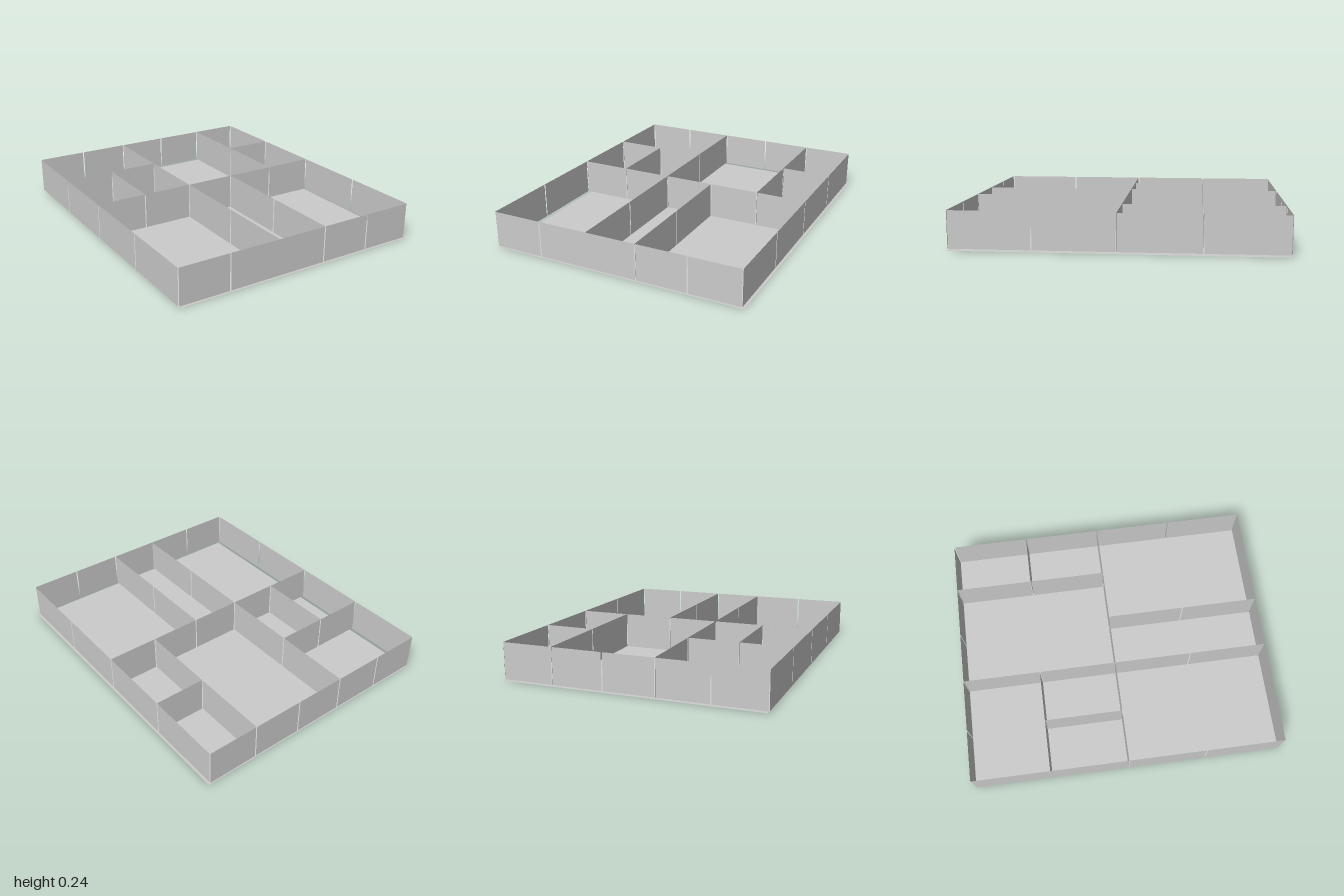
import * as THREE from 'three';

// Shallow compartment tray: thin upright panels set on a 5 x 4 grid above a flat floor
export function createModel() {
  const group = new THREE.Group();
  const material = new THREE.MeshStandardMaterial({ color: 0xcccccc, side: THREE.DoubleSide });

  const bottom = 0.01, top = 0.24, gap = 0.004;
  const gridX = (i) => -0.825 + i * 0.328; // columns, right to left of the tray
  const gridZ = (j) => 1 - j * 0.5;        // rows, front to back

  function addPanel(name, length, x, z, turned) {
    const geometry = new THREE.PlaneGeometry(length - 2 * gap, top - bottom);
    if (turned) geometry.rotateY(Math.PI / 2);
    const panel = new THREE.Mesh(geometry, material);
    panel.name = name;
    panel.position.set(x, (top + bottom) / 2, z);
    group.add(panel);
  }

  // Panels running across the tray: stops are column numbers where panels end
  function crossWall(name, row, stops) {
    for (let k = 0; k + 1 < stops.length; k++) {
      const a = gridX(stops[k]), b = gridX(stops[k + 1]);
      addPanel(name, b - a, (a + b) / 2, gridZ(row), false);
    }
  }

  // Panels running front to back: stops are row numbers where panels end
  function lengthWall(name, column, stops) {
    for (let k = 0; k + 1 < stops.length; k++) {
      const a = gridZ(stops[k]), b = gridZ(stops[k + 1]);
      addPanel(name, a - b, gridX(column), (a + b) / 2, true);
    }
  }

  // Floor
  const floor = new THREE.Mesh(new THREE.PlaneGeometry(1.64, 2).rotateX(-Math.PI / 2), material);
  floor.name = 'floor';
  floor.position.x = 0.005;
  group.add(floor);

  // Outer walls
  crossWall('frontWall', 0, [0, 1, 3, 4, 5]);
  crossWall('backWall', 4, [0, 1, 2, 3, 4, 5]);
  lengthWall('rightWall', 0, [0, 1, 2, 3, 4]);
  lengthWall('leftWall', 5, [0, 1, 2, 3, 4]);

  // Dividers across
  crossWall('middleDivider', 2, [0, 1, 2, 3, 4, 5]);
  crossWall('backRightDivider', 3, [0, 1, 2]);
  crossWall('backLeftDivider', 3, [4, 5]);

  // Dividers front to back
  lengthWall('longDivider', 2, [0, 1, 2, 3, 4]);
  lengthWall('frontLeftDivider', 3, [0, 1, 2]);
  lengthWall('backSideDivider', 4, [2, 3, 4]);
  lengthWall('smallDivider', 1, [2, 3]);

  return group;
}
